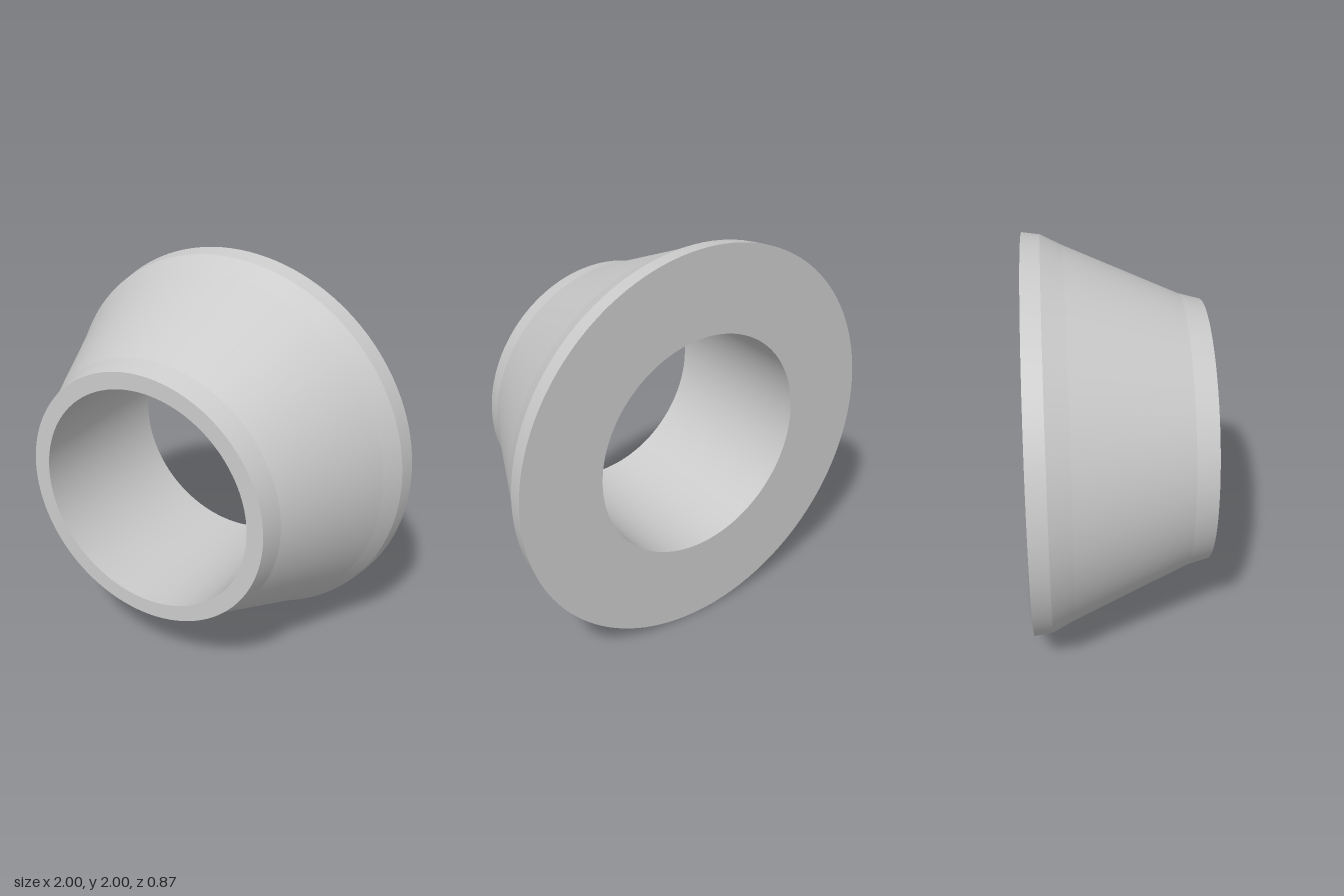
import * as THREE from 'three';
import { mergeGeometries } from 'three/addons/utils/BufferGeometryUtils.js';

// Each profile segment is turned on its own, so bands are smooth around and crisp between
function turned(profile, sides) {
  const bands = [];
  for (let i = 0; i < profile.length - 1; i++) {
    const pair = [profile[i], profile[i + 1]].map(([r, h]) => new THREE.Vector2(r, h));
    bands.push(new THREE.LatheGeometry(pair, sides));
  }
  return mergeGeometries(bands).rotateX(Math.PI / 2); // axis along z
}

export function createModel() {
  const group = new THREE.Group();
  group.name = 'taperedBushing';
  const material = new THREE.MeshStandardMaterial({ color: 0xcccccc });

  const bore = 0.57;
  const half = 0.435;

  // Tapered outer wall with its wide back face and narrow front rim
  const shell = new THREE.Mesh(turned([
    [bore, -half], [1, -half], [0.987, -0.345], [0.934, -0.24],
    [0.685, 0.325], [0.655, half], [bore, half],
  ], 128), material);
  shell.name = 'taperedBody';

  // Straight through hole, facing the axis
  const hole = new THREE.Mesh(turned([[bore, half], [bore, -half]], 128), material);
  hole.name = 'boreWall';

  group.add(shell, hole);
  group.position.y = 1;
  return group;
}
